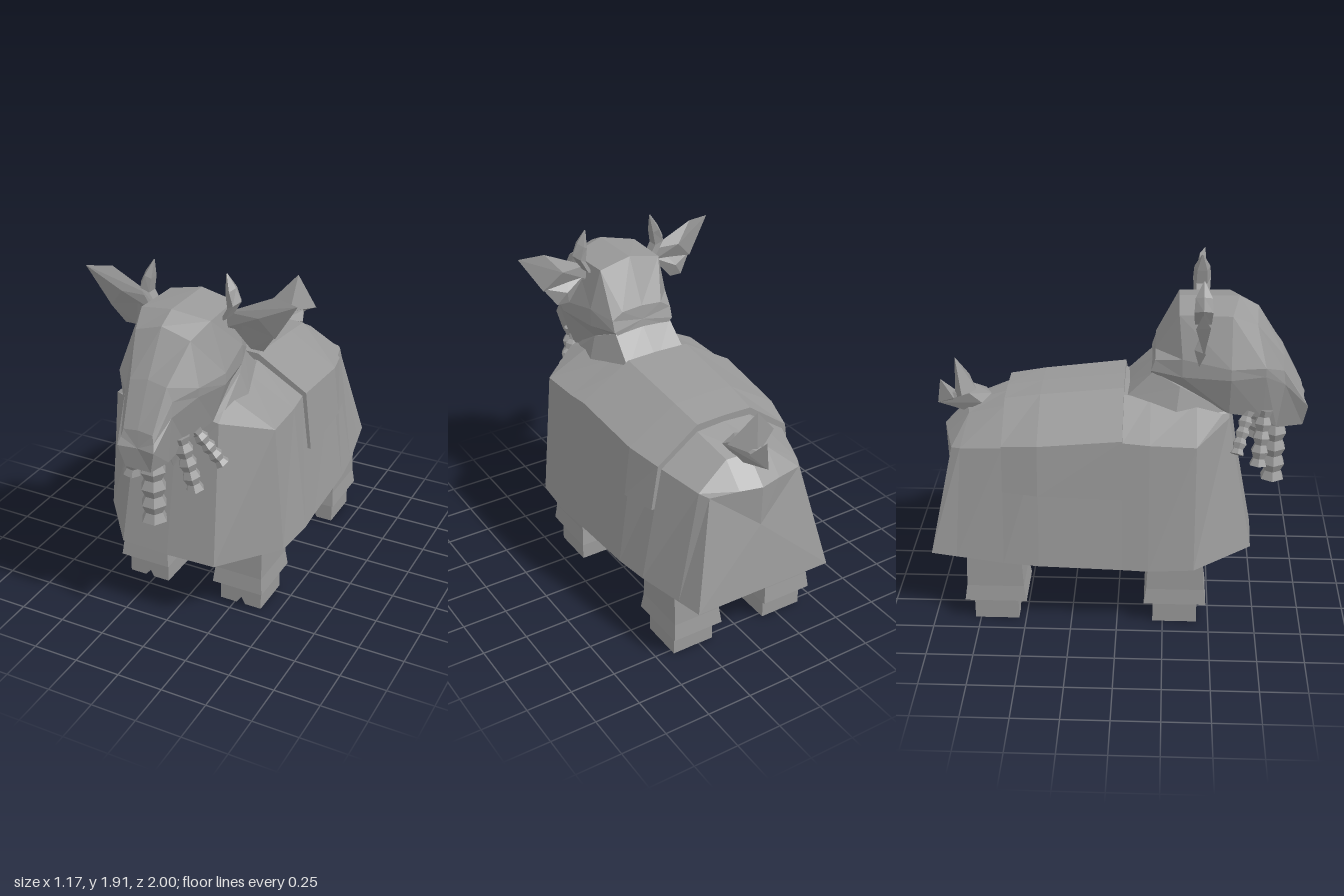
import * as THREE from 'three';
import { ConvexGeometry } from 'three/addons/geometries/ConvexGeometry.js';

const gray = new THREE.MeshStandardMaterial({ color: 0x999999, flatShading: true });
gray.name = 'stone gray';

const mesh = (geo, name) => {
  const m = new THREE.Mesh(geo, gray);
  m.name = name;
  return m;
};

// Full ring from a half ring running top centre -> +x side -> bottom centre
const mirrorLoop = half => [...half, ...half.filter(p => p[0] > 0).reverse().map(([x, y, z]) => [-x, y, z])];

// Joins closed rings of equal length, caps both ends and faces them outward
function loft(rings) {
  const n = rings[0].length, pts = rings.flat(), tris = [];
  rings.slice(1).forEach((_, r) => {
    for (let i = 0; i < n; i++) {
      const a = r * n + i, b = r * n + (i + 1) % n;
      tris.push([a, b, a + n], [b, b + n, a + n]);
    }
  });
  [0, rings.length - 1].forEach((r, end) => {
    const c = [0, 1, 2].map(k => rings[r].reduce((s, p) => s + p[k], 0) / n);
    const ci = pts.push(c) - 1;
    for (let i = 0; i < n; i++) {
      const a = r * n + i, b = r * n + (i + 1) % n;
      tris.push(end ? [a, b, ci] : [b, a, ci]);
    }
  });
  const v = pts.map(p => new THREE.Vector3(...p));
  const volume = tris.reduce((s, [a, b, c]) => s + v[a].dot(v[b].clone().cross(v[c])), 0);
  if (volume < 0) tris.forEach(t => t.reverse());
  const geo = new THREE.BufferGeometry().setFromPoints(tris.flat().map(i => v[i]));
  geo.computeVertexNormals();
  return geo;
}

const hull = pts => new ConvexGeometry(pts.map(p => new THREE.Vector3(...p)));
const both = pts => pts.flatMap(([x, y, z]) => x ? [[x, y, z], [-x, y, z]] : [[x, y, z]]);

// Ribbed hair strand hanging between two points
function strand(from, to, radius, ribs) {
  const profile = [new THREE.Vector2(0, 0)];
  for (let i = 0; i <= ribs * 2; i++) {
    profile.push(new THREE.Vector2(radius * (i % 2 ? 0.68 : 1), i / (ribs * 2)));
  }
  profile.push(new THREE.Vector2(0, 1));
  const a = new THREE.Vector3(...from), b = new THREE.Vector3(...to), d = a.clone().sub(b);
  const geo = new THREE.LatheGeometry(profile, 6, Math.PI / 6);
  geo.scale(1, d.length(), 1);
  geo.applyQuaternion(new THREE.Quaternion().setFromUnitVectors(new THREE.Vector3(0, 1, 0), d.normalize()));
  return geo.translate(b.x, b.y, b.z);
}

const rect = (x0, x1, y, z0, z1) => [[x0, y, z0], [x1, y, z0], [x1, y, z1], [x0, y, z1]];

// Leg with a flared cuff and a cloven hoof
function leg(x, z, name) {
  const g = new THREE.Group();
  g.name = name;
  g.position.set(x, 0, z);
  g.add(mesh(loft([[0.42, 0.135, 0.145], [0.22, 0.136, 0.155], [0.13, 0.146, 0.168], [0.115, 0.12, 0.13]]
    .map(([y, w, d]) => rect(-w, w, y, -d, d))), 'shaggyLeg'));
  const s = new THREE.Shape([[-0.12, 0], [-0.025, 0], [0, 0.05], [0.025, 0], [0.12, 0], [0.12, 0.12], [-0.12, 0.12]]
    .map(p => new THREE.Vector2(...p)));
  const hoof = new THREE.ExtrudeGeometry(s, { depth: 0.24, bevelEnabled: false }).translate(0, 0, -0.12);
  // The cleft runs out towards the heel
  const p = hoof.attributes.position;
  for (let i = 0; i < p.count; i++) if (p.getZ(i) < 0 && Math.abs(p.getY(i) - 0.05) < 0.01) p.setY(i, 0.001);
  hoof.computeVertexNormals();
  g.add(mesh(hoof, 'hoof'));
  return g;
}

export function createModel() {
  const model = new THREE.Group();
  model.name = 'goat';

  // Shaggy coat: top centre, top corner, shoulder, hem, belly centre
  const coat = [
    [[0, 1.2, 0.59], [0.12, 1.2, 0.59], [0.23, 1.17, 0.58], [0.27, 0.41, 0.72], [0, 0.41, 0.73]],
    [[0, 1.24, 0.41], [0.2, 1.24, 0.41], [0.46, 1.11, 0.41], [0.52, 0.41, 0.41], [0, 0.41, 0.41]],
    [[0, 1.27, 0.17], [0.19, 1.26, 0.17], [0.455, 1.115, 0.17], [0.54, 0.41, 0.17], [0, 0.41, 0.17]],
    [[0, 1.28, 0.03], [0.18, 1.27, 0.03], [0.44, 1.12, 0.03], [0.53, 0.41, 0.03], [0, 0.41, 0.03]],
    [[0, 1.23, -0.41], [0.17, 1.22, -0.41], [0.42, 1.07, -0.41], [0.51, 0.41, -0.41], [0, 0.41, -0.41]],
    [[0, 1.2, -0.6], [0.16, 1.19, -0.6], [0.37, 1.04, -0.6], [0.485, 0.41, -0.6], [0, 0.41, -0.6]],
    [[0, 1.13, -0.82], [0.12, 1.12, -0.8], [0.3, 1.0, -0.83], [0.43, 0.41, -0.86], [0, 0.41, -0.86]],
    [[0, 1.0, -0.95], [0.12, 1.0, -0.92], [0.27, 0.99, -0.88], [0.4, 0.41, -1], [0, 0.41, -1]],
  ];
  model.add(mesh(loft(coat.map(mirrorLoop)), 'coat'));

  // Saddle blanket follows the coat, slightly raised
  const blanket = coat.slice(3, 6).map(([c, t, s, h]) => {
    const k = (s[1] - 0.815) / (s[1] - h[1]), x = s[0] + (h[0] - s[0]) * k, z = s[2];
    const half = [[0, c[1] + 0.035, z], [t[0], t[1] + 0.04, z], [s[0] + 0.02, s[1] + 0.02, z], [x + 0.018, 0.815, z],
      [x - 0.02, 0.815, z], [s[0] - 0.02, s[1] - 0.02, z], [t[0], t[1] - 0.02, z], [0, c[1] - 0.02, z]];
    const left = half.map(([px, py, pz]) => [-px, py, pz]);
    return [...half.slice(0, 7), half[7], ...left.slice(1, 7).reverse()];
  });
  model.add(mesh(loft(blanket), 'blanket'));

  // Neck wedge
  model.add(mesh(loft([
    [[0, 1.25, 0.03], [0.18, 1.25, 0.03], [0.27, 1.18, 0.3], [0.22, 1.14, 0.57], [0, 1.14, 0.57]],
    [[0, 1.41, 0.18], [0.17, 1.4, 0.18], [0.22, 1.34, 0.32], [0.19, 1.19, 0.57], [0, 1.19, 0.57]],
  ].map(mirrorLoop)), 'neck'));

  // Head: crown centre, crown corner, brow, cheek, jaw, chin centre
  model.add(mesh(loft([
    [[0, 1.52, 0.19], [0.12, 1.51, 0.19], [0.18, 1.47, 0.19], [0.18, 1.41, 0.17], [0.15, 1.38, 0.17], [0, 1.38, 0.17]],
    [[0, 1.76, 0.31], [0.18, 1.72, 0.31], [0.235, 1.5, 0.33], [0.235, 1.4, 0.33], [0.18, 1.3, 0.33], [0, 1.3, 0.33]],
    [[0, 1.76, 0.62], [0.19, 1.72, 0.58], [0.27, 1.46, 0.58], [0.27, 1.4, 0.58], [0.2, 1.18, 0.58], [0, 1.18, 0.58]],
    [[0, 1.71, 0.72], [0.15, 1.66, 0.71], [0.22, 1.45, 0.76], [0.215, 1.4, 0.76], [0.14, 1.13, 0.76], [0, 1.12, 0.76]],
    [[0, 1.49, 0.86], [0.1, 1.47, 0.86], [0.13, 1.4, 0.86], [0.13, 1.32, 0.87], [0.09, 1.05, 0.84], [0, 1.05, 0.84]],
    [[0, 1.27, 0.97], [0.08, 1.26, 0.97], [0.09, 1.22, 0.98], [0.1, 1.18, 1], [0.07, 1.06, 0.98], [0, 1.06, 0.98]],
  ].map(mirrorLoop)), 'head'));

  // Horns and ears on both sides
  [[1, 'left'], [-1, 'right']].forEach(([s, side]) => {
    const horn = [[0.2, 1.68, 0.035, 0.045], [0.245, 1.76, 0.035, 0.05], [0.225, 1.83, 0.025, 0.045], [0.2, 1.91, 0.003, 0.004]]
      .map(([x, y, w, d]) => [0, 1, 2, 3, 4].map(i => {
        const a = i * Math.PI * 0.4;
        return [s * (x + w * Math.cos(a)), y + 0.6 * w * Math.cos(a), 0.43 + d * Math.sin(a)];
      }));
    model.add(mesh(loft(horn), side + 'Horn'));
    const ear = pts => hull(pts.map(([x, y, z]) => [s * x, y, z]));
    model.add(mesh(ear([[0.2, 1.71, 0.43], [0.2, 1.63, 0.43], [0.45, 1.83, 0.42], [0.585, 1.82, 0.455],
      [0.46, 1.62, 0.43], [0.36, 1.72, 0.39], [0.38, 1.72, 0.455]]), side + 'Ear'));
    model.add(mesh(ear([[0.21, 1.66, 0.43], [0.3, 1.66, 0.44], [0.46, 1.63, 0.44], [0.39, 1.53, 0.41],
      [0.32, 1.53, 0.41], [0.34, 1.6, 0.385]]), side + 'EarLobe'));
    model.add(mesh(strand([s * 0.12, 1.17, 0.77], [s * 0.183, 0.87, 0.745], 0.05, 4), side + 'InnerWhisker'));
    model.add(mesh(strand([s * 0.15, 1.17, 0.68], [s * 0.275, 0.98, 0.625], 0.04, 4), side + 'OuterWhisker'));
    model.add(leg(s * 0.285, 0.315, side + 'FrontLeg'), leg(s * 0.285, -0.66, side + 'BackLeg'));
  });
  model.add(mesh(strand([0, 1.08, 0.84], [0, 0.7, 0.84], 0.07, 4), 'beard'));

  // Upturned tail: root, raised tuft and rear tip
  const tail = new THREE.Group();
  tail.name = 'tail';
  tail.add(mesh(hull(both([[0, 1.18, -0.69], [0.1, 1.17, -0.73], [0.07, 1.21, -0.8], [0.05, 1.1, -0.83],
    [0, 1.12, -0.98], [0, 1.18, -0.92]])), 'tailRoot'));
  tail.add(mesh(hull(both([[0.14, 1.23, -0.83], [0, 1.39, -0.88], [0, 1.2, -0.77], [0, 1.15, -0.89]])), 'tailTuft'));
  tail.add(mesh(hull(both([[0, 1.26, -0.965], [0.05, 1.17, -0.89], [0, 1.12, -0.985], [0, 1.13, -0.88]])), 'tailTip'));
  model.add(tail);

  return model;
}
